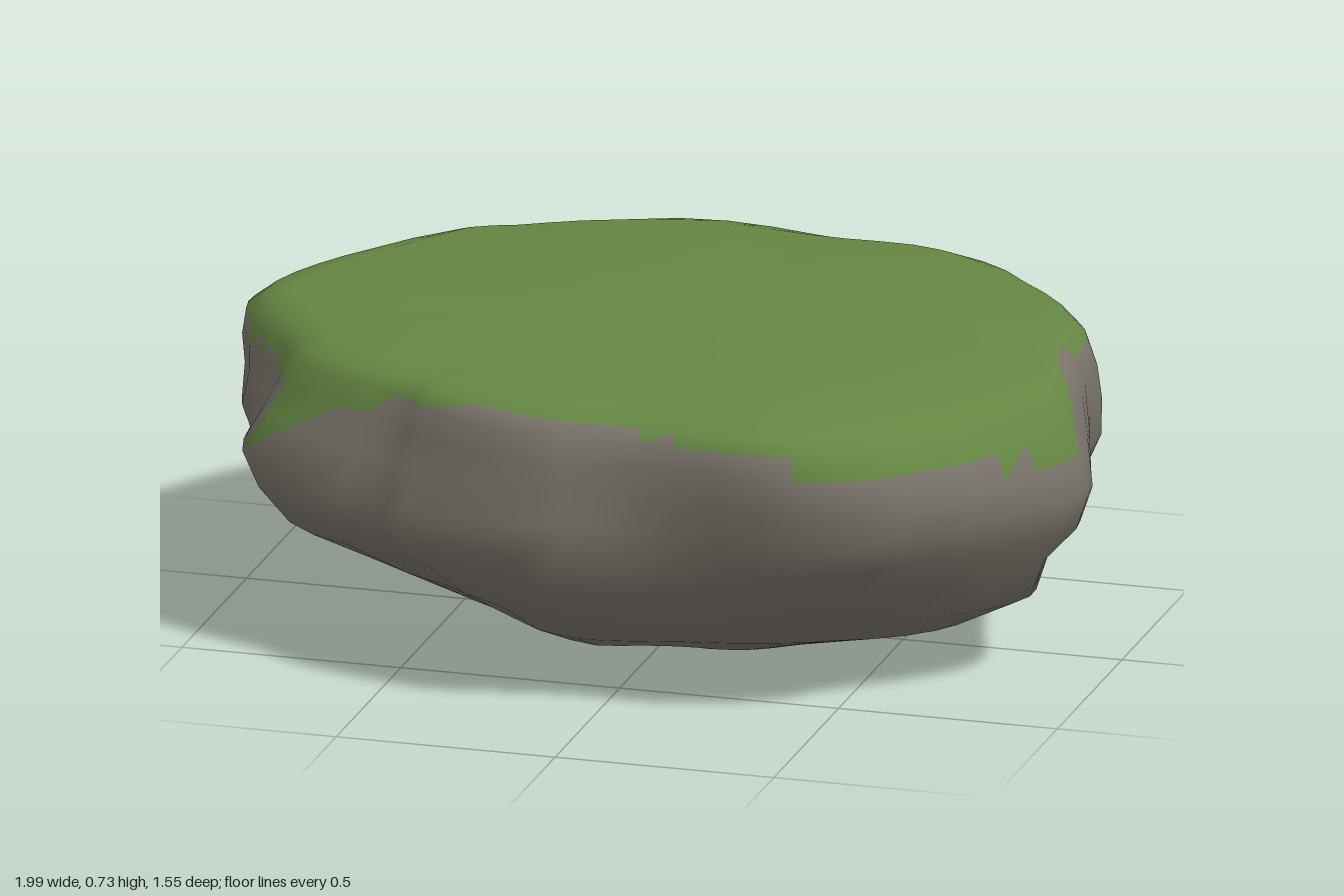
import * as THREE from 'three';

const stone = new THREE.MeshStandardMaterial({ color: 0x7a746b });
stone.name = 'stone';
const moss = new THREE.MeshStandardMaterial({ color: 0x658743 });
moss.name = 'moss';

// Widest plan outline as x, z pairs, from the +x side round through +z
const OUTLINE = [
  1, 0.2, 0.93, 0.33, 0.81, 0.49, 0.72, 0.57, 0.66, 0.64, 0.54, 0.72, 0.4, 0.77, 0.2, 0.75,
  0.03, 0.745, -0.16, 0.765, -0.44, 0.685, -0.53, 0.61, -0.68, 0.56, -0.88, 0.43, -0.915, 0.28,
  -0.95, 0.2, -1, 0.05, -1, -0.04, -0.94, -0.18, -0.85, -0.33, -0.71, -0.54, -0.6, -0.59,
  -0.46, -0.665, -0.23, -0.74, 0, -0.745, 0.22, -0.78, 0.4, -0.765, 0.54, -0.68, 0.67, -0.53,
  0.81, -0.38, 0.88, -0.24, 0.89, -0.11, 0.97, 0.08,
];

// Heights of the side rings, and their reach (share of the outline) by compass angle
const LEVELS = [0.02, 0.06, 0.11, 0.19, 0.28, 0.36, 0.44, 0.52, 0.59, 0.645, 0.677];
const REACH = [
  [12, [0.34, 0.55, 0.73, 0.86, 0.9, 0.95, 1, 0.96, 0.94, 0.91, 0.88]],
  [40, [0.3, 0.48, 0.65, 0.8, 0.89, 0.95, 0.99, 1, 0.98, 0.94, 0.89]],
  [62, [0.32, 0.5, 0.65, 0.78, 0.86, 0.92, 0.96, 0.99, 1, 0.98, 0.94]],
  [102, [0.33, 0.53, 0.66, 0.82, 0.94, 1, 0.99, 0.97, 0.97, 0.95, 0.92]],
  [130, [0.27, 0.45, 0.6, 0.77, 0.91, 1, 1, 0.97, 0.94, 0.92, 0.88]],
  [152, [0.25, 0.42, 0.58, 0.75, 0.91, 0.98, 1, 0.95, 0.9, 0.88, 0.85]],
  [180, [0.2, 0.44, 0.58, 0.71, 0.86, 0.95, 0.99, 1, 1, 0.99, 0.94]],
  [235, [0.2, 0.4, 0.55, 0.7, 0.86, 0.94, 0.98, 1, 1, 0.99, 0.95]],
  [264, [0.16, 0.34, 0.54, 0.69, 0.84, 0.95, 0.98, 0.99, 1, 0.98, 0.95]],
  [287, [0.13, 0.28, 0.53, 0.67, 0.83, 0.99, 1, 0.97, 0.94, 0.91, 0.87]],
  [318, [0.2, 0.42, 0.6, 0.76, 0.88, 0.96, 1, 1, 0.99, 0.98, 0.94]],
  [352, [0.3, 0.53, 0.7, 0.84, 0.91, 0.96, 1, 1, 0.99, 0.97, 0.93]],
];

// Lowest height of the moss by compass angle
const MOSS_EDGE = [
  [0, 0.67], [16, 0.53], [28, 0.57], [52, 0.57], [62, 0.64], [90, 0.67], [112, 0.68], [130, 0.64],
  [142, 0.58], [151, 0.47], [158, 0.6], [180, 0.63], [225, 0.63], [262, 0.66], [274, 0.58],
  [292, 0.57], [300, 0.65], [318, 0.63], [345, 0.65],
];

// Finds the two keys around an angle and the smooth blend between them
function between(keys, deg) {
  const found = keys.findLastIndex(key => key[0] <= deg);
  const k = found < 0 ? keys.length - 1 : found;
  const a = keys[k], b = keys[(k + 1) % keys.length];
  const span = (b[0] - a[0] + 360) % 360;
  return [a[1], b[1], THREE.MathUtils.smoothstep(((deg - a[0] + 360) % 360) / span, 0, 1)];
}

const compass = (x, z) => (THREE.MathUtils.radToDeg(Math.atan2(z, x)) + 360) % 360;

// Moss covers the top and hangs over the rim, with one bare strip at the back
function isMossy(x, y, z) {
  const deg = compass(x, z);
  const [a, b, t] = between(MOSS_EDGE, deg);
  const bare = deg > 274 && deg < 296 && y > 0.625 && y < 0.68;
  return !bare && y > Math.min(THREE.MathUtils.lerp(a, b, t), 0.68);
}

function rockGeometry() {
  const N = 66;
  const corners = [];
  for (let i = 0; i < OUTLINE.length; i += 2) corners.push(new THREE.Vector3(OUTLINE[i], 0, OUTLINE[i + 1]));
  const plan = new THREE.CatmullRomCurve3(corners, true, 'centripetal');
  const columns = Array.from({ length: N }, (_, i) => {
    const p = plan.getPoint(i / N);
    const deg = compass(p.x, p.z);
    const oval = 1 / Math.hypot(p.x / 0.97, p.z / 0.76);
    return { p, w: THREE.MathUtils.degToRad(deg), oval, blend: between(REACH, deg) };
  });

  const positions = [];
  // Side rings: a smooth oval underneath that grows into the uneven outline, with soft lumps
  LEVELS.forEach((y, j) => {
    const ovalShare = Math.max(0, 1 - y / 0.36);
    const swell = 0.02 * Math.sin(Math.PI * j / (LEVELS.length - 1));
    for (const { p, w, oval, blend: [a, b, t] } of columns) {
      const lump = Math.sin(4 * w + 16 * y) * Math.sin(3 * w - 21 * y + 1);
      const s = (THREE.MathUtils.lerp(a[j], b[j], t) + swell * Math.min(lump, 0.25))
        * THREE.MathUtils.lerp(1, oval, ovalShare);
      positions.push(p.x * s, y + 0.007 * Math.sin(5 * w + j), p.z * s);
    }
  });
  // Gently domed top rings
  const rim = LEVELS.length - 1;
  for (const [share, y] of [[0.94, 0.692], [0.7, 0.708], [0.35, 0.719]]) {
    for (const { p, blend: [a, b, t] } of columns) {
      const s = share * THREE.MathUtils.lerp(a[rim], b[rim], t);
      positions.push(p.x * s, y, p.z * s);
    }
  }
  const rings = LEVELS.length + 3;
  const bottom = rings * N, top = bottom + 1;
  positions.push(0.08, 0, 0.02, 0, 0.725, 0);

  // Sort each face into stone or moss by its middle
  const faces = [[], []];
  const addFace = (...ids) => {
    const middle = [0, 1, 2].map(k => ids.reduce((sum, i) => sum + positions[i * 3 + k], 0) / 3);
    faces[isMossy(...middle) ? 1 : 0].push(...ids);
  };
  for (let i = 0; i < N; i++) {
    const n = (i + 1) % N;
    addFace(bottom, i, n);
    for (let j = 0; j < rings - 1; j++) {
      const lo = j * N, hi = lo + N;
      addFace(lo + i, hi + i, lo + n);
      addFace(lo + n, hi + i, hi + n);
    }
    addFace((rings - 1) * N + i, top, (rings - 1) * N + n);
  }

  const geometry = new THREE.BufferGeometry();
  geometry.setAttribute('position', new THREE.Float32BufferAttribute(positions, 3));
  geometry.setIndex([...faces[0], ...faces[1]]);
  geometry.addGroup(0, faces[0].length, 0);
  geometry.addGroup(faces[0].length, faces[1].length, 1);
  geometry.computeVertexNormals();
  return geometry;
}

export function createModel() {
  const group = new THREE.Group();
  group.name = 'mossyRock';
  const rock = new THREE.Mesh(rockGeometry(), [stone, moss]);
  rock.name = 'rock';
  group.add(rock);
  return group;
}
